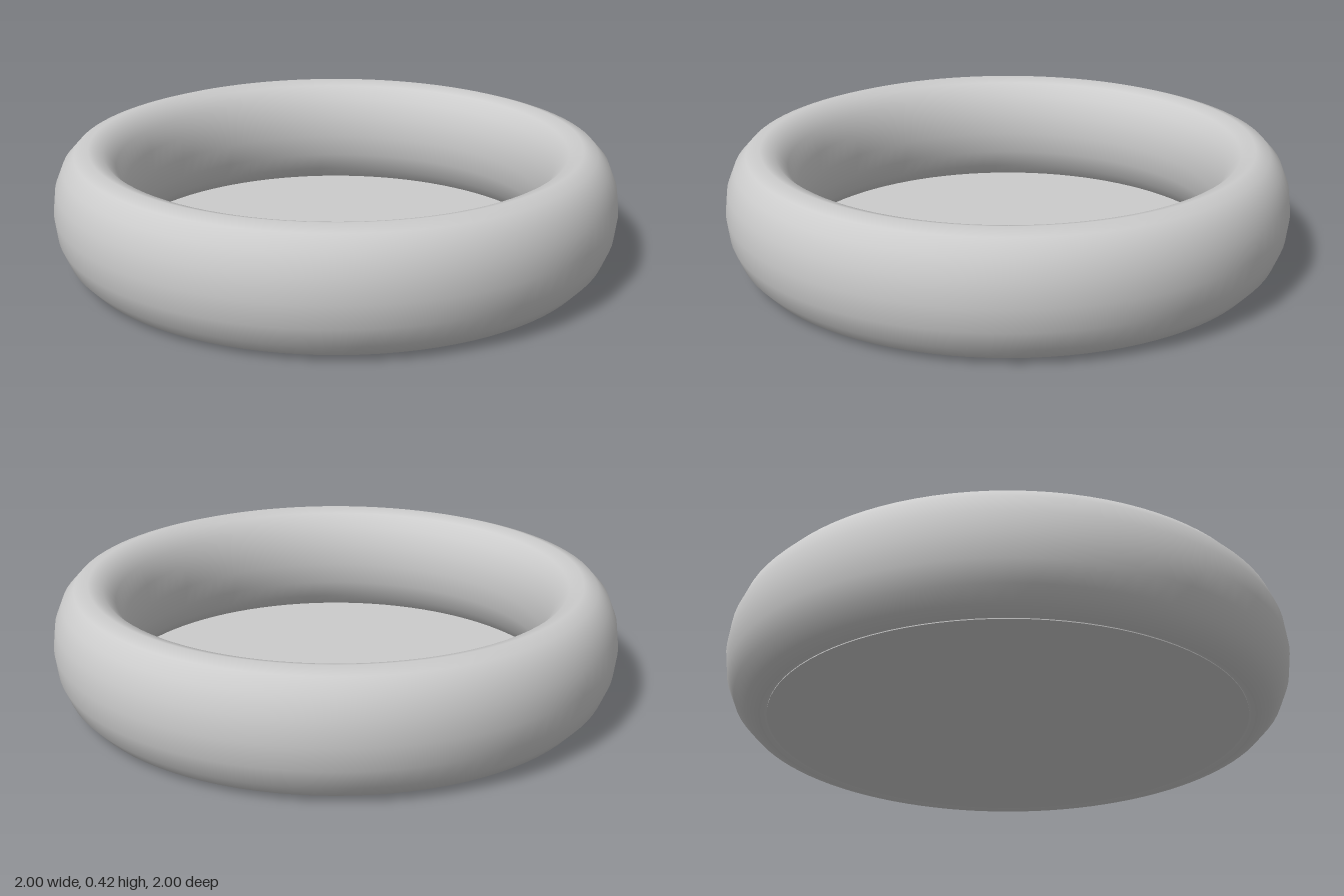
import * as THREE from 'three';

export function createModel() {
  const group = new THREE.Group();
  const material = new THREE.MeshStandardMaterial({ color: 0xcccccc });

  // Ring wall: a torus stretched upwards into an oval section
  const tube = 0.13, height = 0.424;
  const ringGeometry = new THREE.TorusGeometry(1 - tube, tube, 16, 96);
  ringGeometry.rotateX(-Math.PI / 2);
  ringGeometry.scale(1, height / (2 * tube), 1);
  ringGeometry.translate(0, height / 2, 0);
  const ring = new THREE.Mesh(ringGeometry, material);
  ring.name = 'ringWall';
  group.add(ring);

  // Thin flat floor closing the bottom of the ring
  const floor = new THREE.Mesh(new THREE.CylinderGeometry(0.845, 0.845, 0.008, 96), material);
  floor.position.y = 0.009;
  floor.name = 'floor';
  group.add(floor);

  return group;
}
